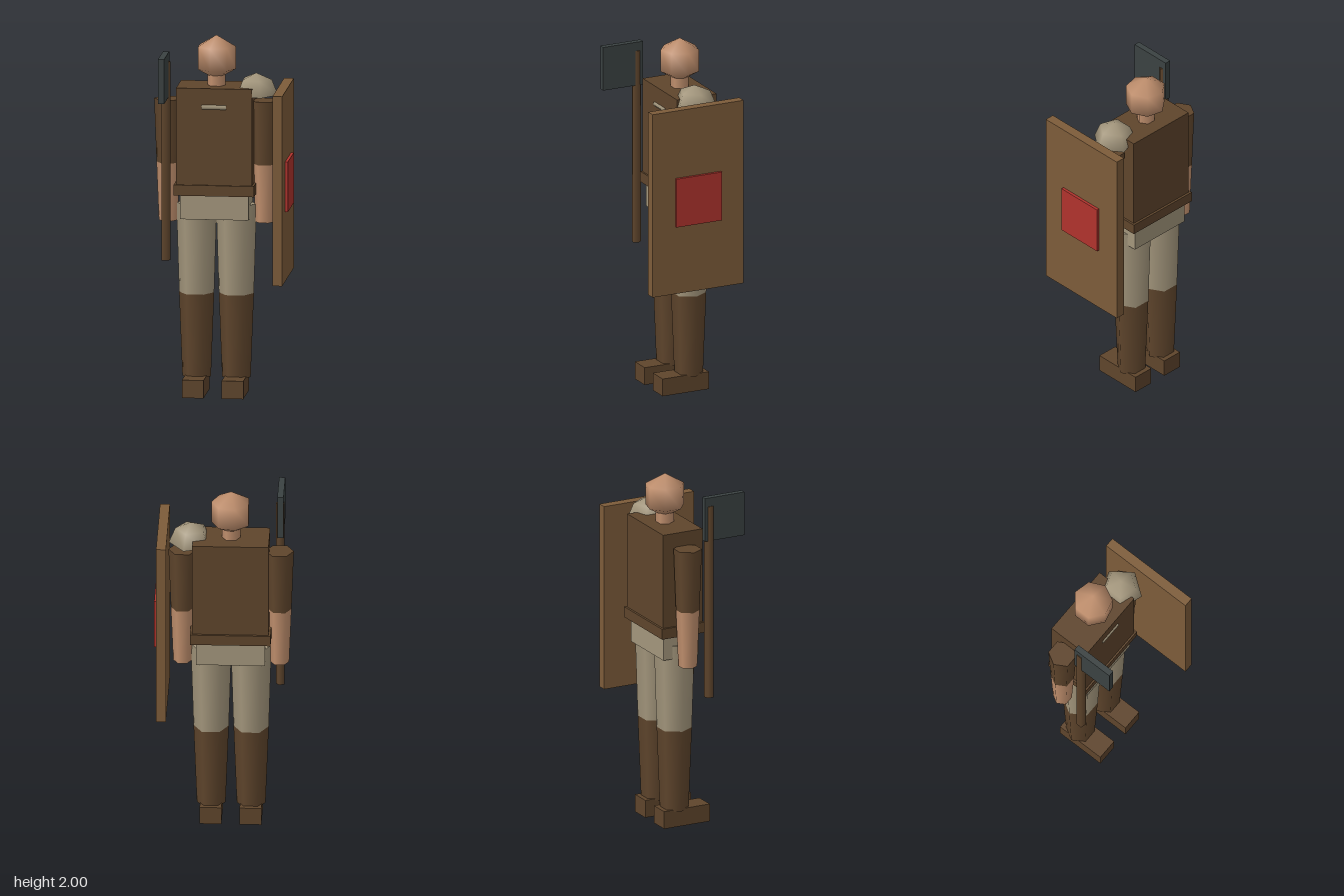
import * as THREE from 'three';

export function createModel() {
  const root = new THREE.Group();
  root.name = 'shieldBearer';

  const mat = (name, color, side = THREE.FrontSide) => {
    const m = new THREE.MeshStandardMaterial({ color, side });
    m.name = name;
    return m;
  };
  const leather = mat('leather', 0x5f452c);
  const wood = mat('wood', 0x7d5c3a);
  const red = mat('red', 0xb0332d);
  const steel = mat('steel', 0x3b4242);
  const skin = mat('skin', 0xc08f6d);
  const cloth = mat('cloth', 0xa3967c, THREE.DoubleSide);

  const BX = -0.04, BZ = -0.09; // body axis

  const add = (name, geometry, material, x, y, z) => {
    const mesh = new THREE.Mesh(geometry, material);
    mesh.name = name;
    mesh.position.set(x, y, z);
    root.add(mesh);
    return mesh;
  };
  // Box given by its extents on each axis
  const box = (name, material, [x0, x1], [y0, y1], [z0, z1]) =>
    add(name, new THREE.BoxGeometry(x1 - x0, y1 - y0, z1 - z0), material,
      (x0 + x1) / 2, (y0 + y1) / 2, (z0 + z1) / 2);
  // Upright tapered prism with one corner pointing to +x
  const limb = (name, material, x, z, y0, y1, r0, r1, sides = 6) => {
    const g = new THREE.CylinderGeometry(r1, r0, y1 - y0, sides).rotateY(Math.PI / 2);
    return add(name, g, material, x, (y0 + y1) / 2, z);
  };

  // Torso, belt and hips
  box('torso', leather, [-0.25, 0.17], [1.12, 1.72], [-0.212, 0.032]);
  box('belt', leather, [-0.262, 0.182], [1.12, 1.18], [-0.225, 0.042]);
  box('hips', cloth, [-0.23, 0.15], [0.985, 1.12], [-0.2, 0.02]);
  const clasp = add('clasp', new THREE.CylinderGeometry(0.013, 0.013, 0.135, 5),
    cloth, BX, 1.616, 0.028);
  clasp.rotation.z = Math.PI / 2;

  // Neck and head
  limb('neck', skin, BX, BZ, 1.7, 1.82, 0.05, 0.05);
  add('head', new THREE.SphereGeometry(0.125, 7, 3).rotateY(Math.PI), skin, BX, 1.875, BZ);

  // Arms, legs and feet on both sides
  for (const [side, s] of [['left', 1], ['right', -1]]) {
    const ax = BX + s * 0.267, lx = BX + s * 0.11;
    limb(side + 'Sleeve', leather, ax, BZ, 1.285, 1.64, 0.065, 0.078);
    limb(side + 'Forearm', skin, ax, BZ, 0.96, 1.285, 0.052, 0.065);
    limb(side + 'Thigh', cloth, lx, BZ, 0.56, 1.06, 0.097, 0.112);
    limb(side + 'Boot', leather, lx, BZ, 0.09, 0.56, 0.079, 0.097);
    box(side + 'Foot', leather, [lx - 0.06, lx + 0.06], [0, 0.1], [-0.185, 0.1]);
  }

  // Shoulder guard, an open half dome
  const dome = new THREE.SphereGeometry(0.122, 5, 2, 0, Math.PI * 2, 0, Math.PI / 2);
  add('shoulderGuard', dome.rotateY(Math.PI), cloth, 0.182, 1.674, -0.07);

  // Shield on the left
  box('shield', wood, [0.312, 0.366], [0.67, 1.73], [-0.28, 0.28]);
  box('shieldBoss', red, [0.366, 0.382], [1.06, 1.34], [-0.14, 0.14]);

  // Axe on the right
  limb('axeHandle', leather, -0.3065, 0.043, 0.76, 1.87, 0.0265, 0.0265, 5);
  box('axeBlade', steel, [-0.324, -0.29], [1.67, 1.92], [0.01, 0.255]);

  return root;
}
